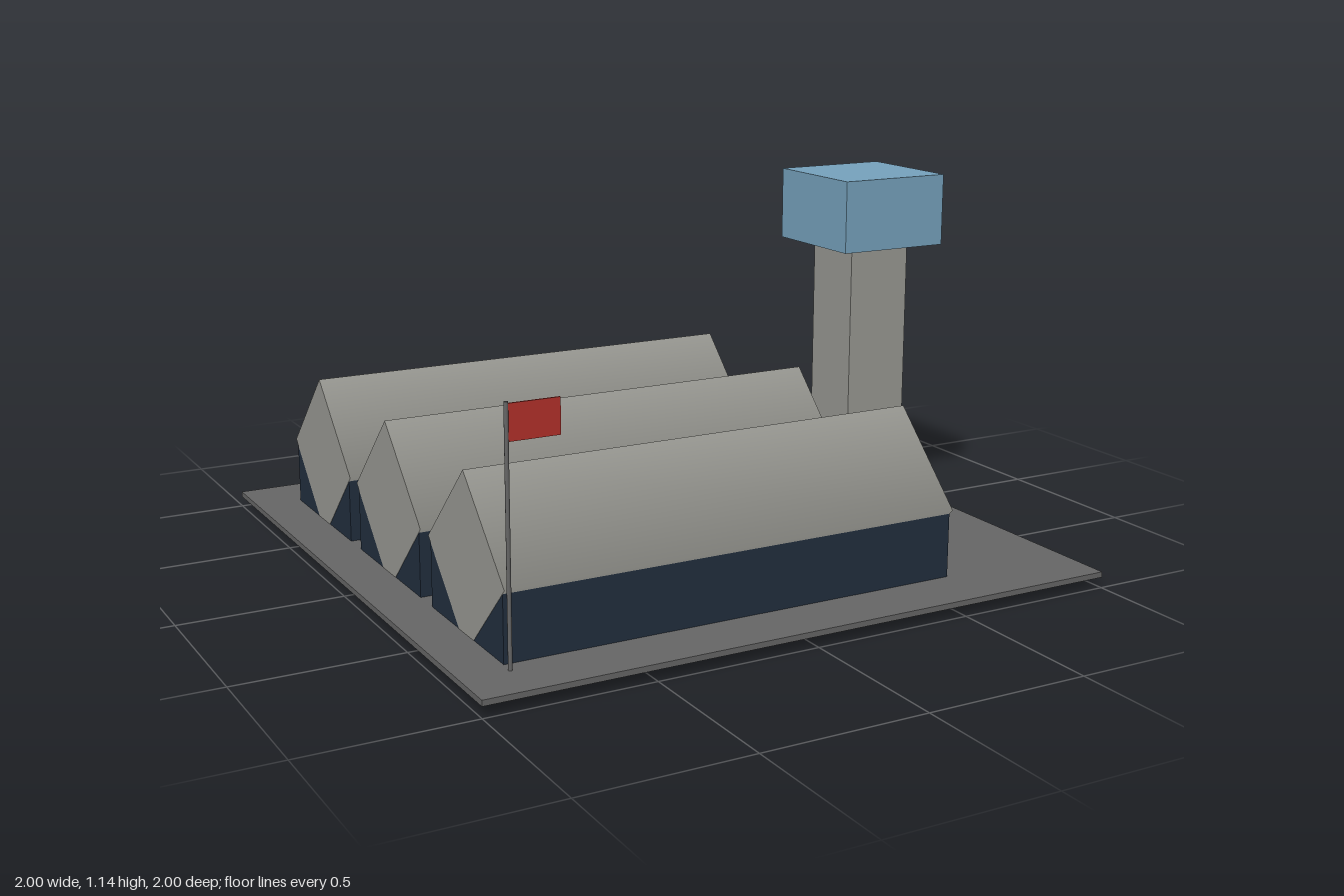
import * as THREE from 'three';

const paint = (name, color) => {
  const m = new THREE.MeshStandardMaterial({ color });
  m.name = name;
  return m;
};

export function createModel() {
  const model = new THREE.Group();
  model.name = 'airbase';

  const asphalt = paint('asphalt grey', 0x666666);
  const concrete = paint('concrete grey', 0x999993);
  const navy = paint('dark navy', 0x212e3e);
  const glass = paint('glass blue', 0x77a3be);
  const red = paint('flag red', 0xb5312b);

  const add = (parent, name, geometry, material, x, y, z) => {
    const mesh = new THREE.Mesh(geometry, material);
    mesh.name = name;
    mesh.position.set(x, y, z);
    parent.add(mesh);
    return mesh;
  };
  const box = (w, h, d) => new THREE.BoxGeometry(w, h, d);

  // Ground slab
  add(model, 'groundSlab', box(2, 0.017, 2), asphalt, 0, 0.041, 0);

  // Three hangars: a four-sided, smooth-shaded barrel sunk into box walls
  const wallGeo = box(1.427, 0.205, 0.486);
  const roofGeo = new THREE.CylinderGeometry(0.257, 0.257, 1.429, 4).rotateZ(Math.PI / 2);
  [-0.572, 0, 0.572].forEach((z, i) => {
    const hangar = new THREE.Group();
    hangar.name = `hangar${i + 1}`;
    hangar.position.set(-0.143, 0, z);
    add(hangar, 'hangarWalls', wallGeo, navy, 0, 0.1425, 0);
    add(hangar, 'hangarRoof', roofGeo, concrete, 0, 0.257, 0);
    model.add(hangar);
  });

  // Control tower
  const tower = new THREE.Group();
  tower.name = 'controlTower';
  tower.position.x = 0.8;
  add(tower, 'towerShaft', box(0.214, 0.862, 0.214), concrete, 0, 0.479, 0);
  add(tower, 'towerCabin', box(0.37, 0.226, 0.37), glass, 0, 1.023, 0);
  model.add(tower);

  // Flagpole and flag
  const flagpole = new THREE.Group();
  flagpole.name = 'flagpole';
  flagpole.position.set(-0.857, 0, 0.857);
  add(flagpole, 'pole', new THREE.CylinderGeometry(0.006, 0.006, 0.716, 12), asphalt, 0, 0.407, 0);
  add(flagpole, 'flag', box(0.146, 0.1, 0.005), red, 0.078, 0.71, 0);
  model.add(flagpole);

  return model;
}
